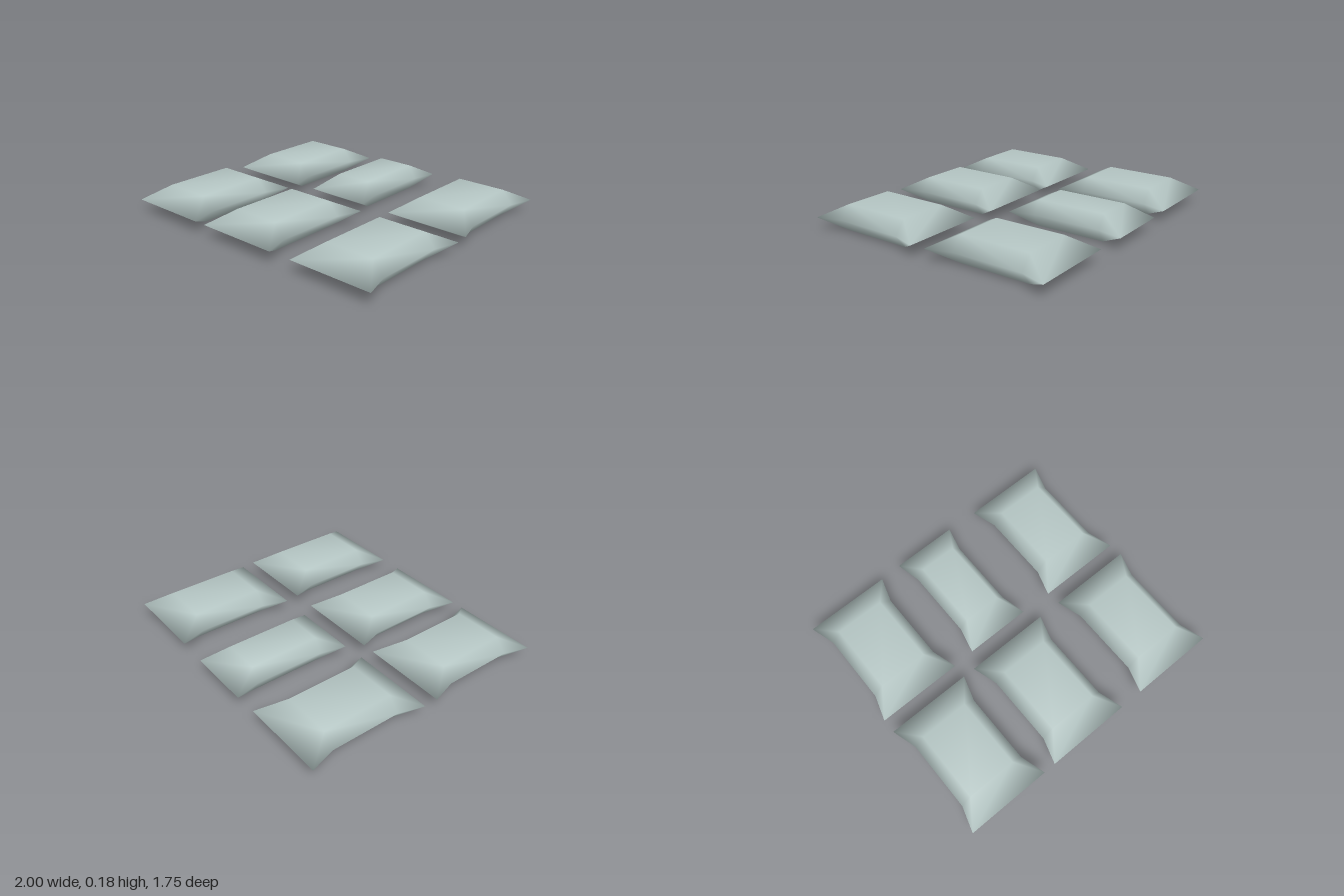
import * as THREE from 'three';

const HALF_HEIGHT = 0.09;
const BODY_Z = 0.24, END_Z = 0.411;

// Padded pouch: hexagonal body sections pinched into a flat, flared seam at each end.
function pouchGeometry() {
  const positions = [], rings = [], indices = [];
  const add = (x, y, z) => positions.push(x, y, z) / 3 - 1;
  const section = [[0.24, 0], [0.167, 1], [-0.167, 1], [-0.24, 0], [-0.167, -1], [0.167, -1]];
  const seam = (z) => {
    const right = add(0.292, 0, z), left = add(-0.292, 0, z);
    return section.map(([x]) => (x > 0 ? right : left));
  };
  const body = (z) => section.map(([x, y]) => add(x, y * HALF_HEIGHT, z));
  rings.push(seam(-END_Z), body(-BODY_Z), body(BODY_Z), seam(END_Z));

  const face = (a, b, c) => {
    if (a !== b && b !== c && c !== a) indices.push(a, b, c);
  };
  for (let r = 0; r < 3; r++) {
    const back = rings[r], front = rings[r + 1];
    for (let i = 0; i < 6; i++) {
      const j = (i + 1) % 6;
      face(back[i], back[j], front[j]);
      face(back[i], front[j], front[i]);
    }
  }
  const geometry = new THREE.BufferGeometry();
  geometry.setAttribute('position', new THREE.Float32BufferAttribute(positions, 3));
  geometry.setIndex(indices);
  geometry.computeVertexNormals();
  return geometry;
}

export function createModel() {
  const group = new THREE.Group();
  group.name = 'pouches';
  const paleGrey = new THREE.MeshStandardMaterial({ color: 0xb5c6c4 });
  paleGrey.name = 'paleGreyGreen';

  // x, z, width scale of each pouch
  const layout = [
    ['backRightPouch', -0.708, -0.459, 1],
    ['backNarrowPouch', -0.04, -0.466, 0.77],
    ['backLeftPouch', 0.695, -0.459, 1],
    ['frontRightPouch', -0.708, 0.459, 1],
    ['frontMiddlePouch', -0.04, 0.459, 1],
    ['frontLeftPouch', 0.706, 0.459, 1],
  ];
  for (const [name, x, z, width] of layout) {
    const geometry = pouchGeometry();
    geometry.scale(width, 1, 1);
    const pouch = new THREE.Mesh(geometry, paleGrey);
    pouch.name = name;
    pouch.position.set(x, HALF_HEIGHT, z);
    group.add(pouch);
  }
  return group;
}
